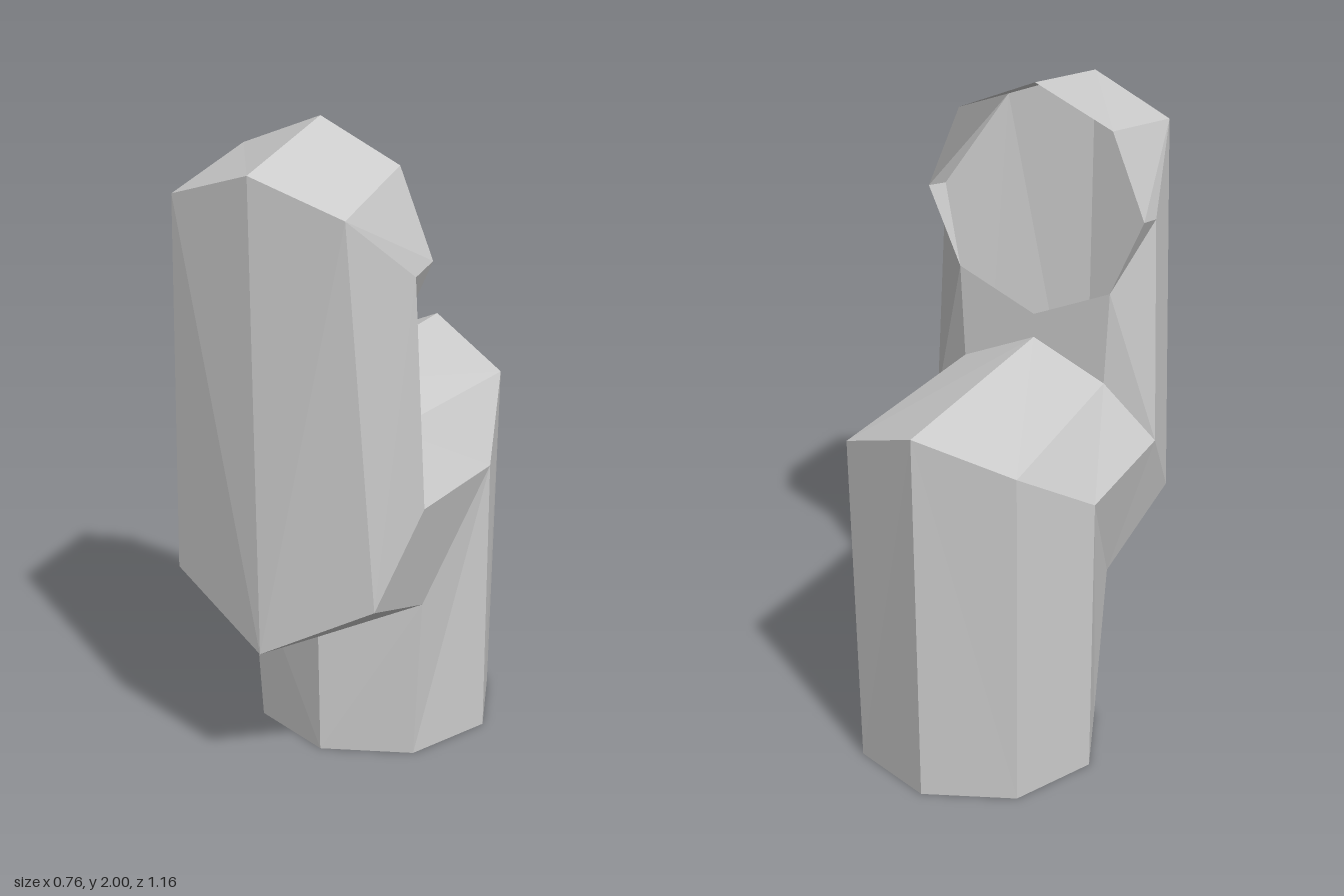
import * as THREE from 'three';

// Cross-sections from the foot to the mouth, half of each octagon: [x, y, z]
// in order front, front side, side, back side, back.
const SECTIONS = [
  // foot
  [[0, 0, 0.195], [0.265, 0, 0.085], [0.375, 0, -0.18], [0.265, 0, -0.445], [0, 0, -0.555]],
  // bend forward
  [[0, 0.39, 0.205], [0.295, 0.52, 0.095], [0.38, 0.885, -0.18], [0.275, 1.07, -0.47], [0, 1.18, -0.58]],
  // bend upward
  [[0, 0.49, 0.55], [0.325, 0.66, 0.46], [0.375, 0.91, 0.25], [0.235, 1.1, 0.175], [0, 1.205, 0.175]],
  // bend backward
  [[0, 1.93, 0.58], [0.27, 1.83, 0.53], [0.35, 1.61, 0.27], [0.25, 1.39, 0.175], [0, 1.28, 0.175]],
  // mouth, facing back
  [[0, 2, 0.175], [0.25, 1.89, 0.175], [0.355, 1.63, 0.175], [0.25, 1.39, 0.175], [0, 1.28, 0.175]],
];

// Mirror a half section into a full octagon
function fullRing(half) {
  const right = half.map((p) => new THREE.Vector3(...p));
  const left = right.slice(1, 4).reverse().map((p) => new THREE.Vector3(-p.x, p.y, p.z));
  return [...right, ...left];
}

// Flat-faced skin between consecutive sections
function loft(rings) {
  const positions = [];
  const addTriangle = (a, b, c) => {
    if (new THREE.Triangle(a, b, c).getArea() < 1e-6) return;
    for (const p of [a, b, c]) positions.push(p.x, p.y, p.z);
  };
  for (let r = 0; r < rings.length - 1; r++) {
    const low = rings[r];
    const high = rings[r + 1];
    for (let i = 0; i < low.length; i++) {
      const j = (i + 1) % low.length;
      if (i < low.length / 2) {
        addTriangle(low[i], low[j], high[j]);
        addTriangle(low[i], high[j], high[i]);
      } else {
        // mirrored diagonal on the other side
        addTriangle(low[i], low[j], high[i]);
        addTriangle(low[j], high[j], high[i]);
      }
    }
  }
  const geometry = new THREE.BufferGeometry();
  geometry.setAttribute('position', new THREE.Float32BufferAttribute(positions, 3));
  geometry.computeVertexNormals();
  return geometry;
}

export function createModel() {
  const model = new THREE.Group();
  model.name = 'bentPipe';

  const grey = new THREE.MeshStandardMaterial({ color: 0xcccccc, side: THREE.DoubleSide, flatShading: true });
  grey.name = 'light grey';

  // Open-ended octagonal pipe
  const pipe = new THREE.Mesh(loft(SECTIONS.map(fullRing)), grey);
  pipe.name = 'pipe';
  model.add(pipe);
  return model;
}
